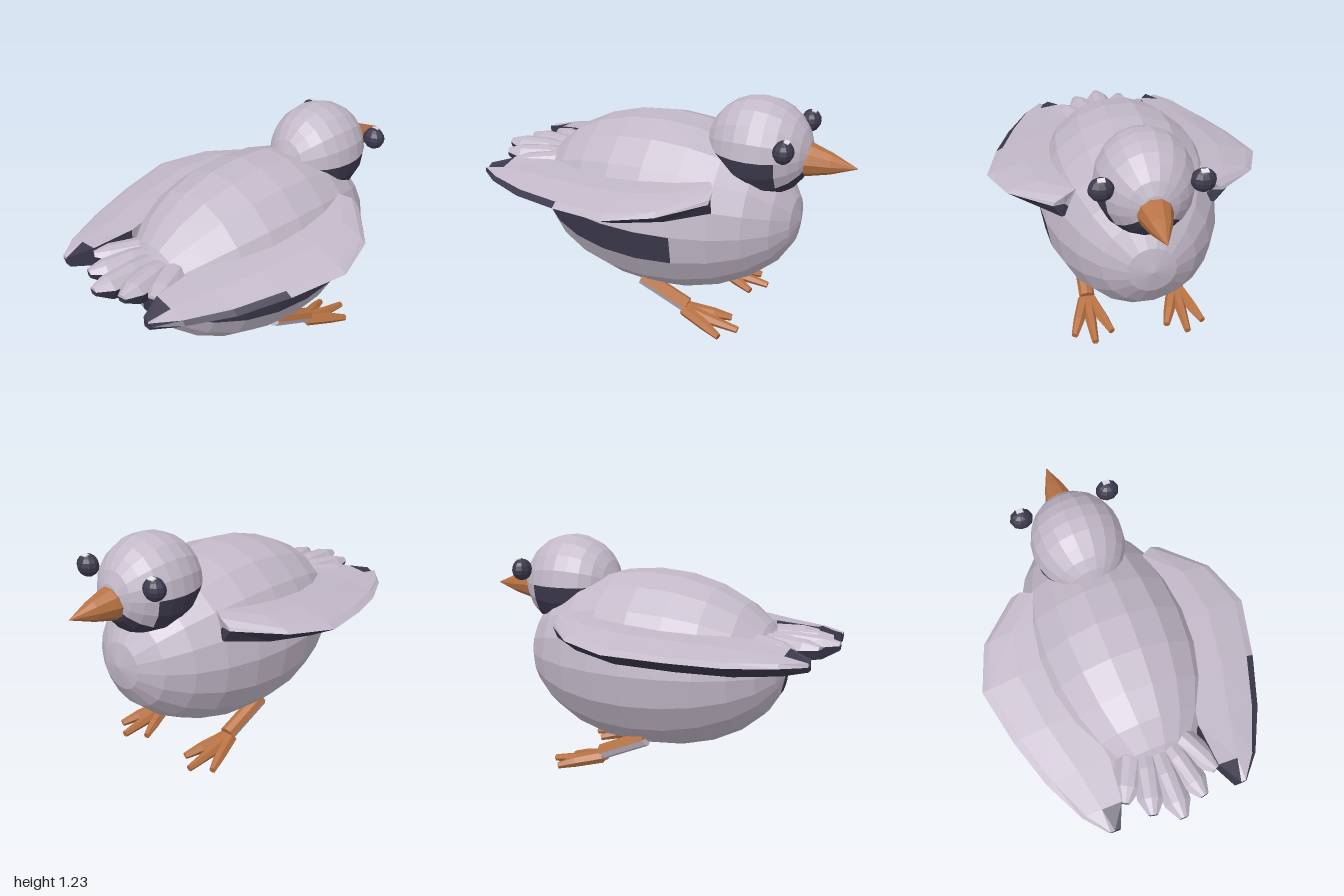
import * as THREE from 'three';

const mat = (name, color) => {
  const m = new THREE.MeshStandardMaterial({ color, flatShading: true });
  m.name = name;
  return m;
};
const V = (x, y, z) => new THREE.Vector3(x, y, z);

// Joins rings of points into a closed faceted solid; pick(i, j) gives the material index of a face
function loft(name, rings, mats, pick = () => 0) {
  const buckets = mats.map(() => []);
  const n = rings[0].length, last = rings.length - 1;
  let volume = 0;
  const tri = (m, a, b, c) => {
    const cross = b.clone().sub(a).cross(c.clone().sub(a));
    if (cross.length() < 1e-8) return;
    volume += a.clone().sub(rings[0][0]).dot(cross);
    buckets[m].push([a, b, c]);
  };
  for (let i = 0; i < last; i++) {
    for (let j = 0; j < n; j++) {
      const k = (j + 1) % n, m = pick(i, j);
      tri(m, rings[i][j], rings[i][k], rings[i + 1][k]);
      tri(m, rings[i][j], rings[i + 1][k], rings[i + 1][j]);
    }
  }
  // End caps
  for (const e of [0, last]) {
    const c = rings[e].reduce((s, p) => s.add(p), V(0, 0, 0)).divideScalar(n);
    for (let j = 0; j < n; j++) {
      const a = rings[e][j], b = rings[e][(j + 1) % n];
      const m = pick(Math.min(e, last - 1), j);
      if (e === 0) tri(m, c, b, a); else tri(m, c, a, b);
    }
  }
  const geo = new THREE.BufferGeometry(), points = [];
  buckets.forEach((list, m) => {
    geo.addGroup(points.length, list.length * 3, m);
    for (const [a, b, c] of list) points.push(a, ...(volume < 0 ? [c, b] : [b, c]));
  });
  geo.setFromPoints(points);
  geo.computeVertexNormals();
  const mesh = new THREE.Mesh(geo, mats);
  mesh.name = name;
  return mesh;
}

// Ellipsoid with its poles along z, 18 sides and 12 bands
function ellipsoid(name, c, r, mats, pick) {
  const rings = [];
  for (let i = 0; i <= 12; i++) {
    const t = (i * Math.PI) / 12, s = i % 12 ? Math.sin(t) : 0;
    rings.push(Array.from({ length: 18 }, (_, j) => {
      const a = (j * Math.PI) / 9;
      return V(c[0] + r[0] * s * Math.cos(a), c[1] + r[1] * s * Math.sin(a), c[2] - r[2] * Math.cos(t));
    }));
  }
  return loft(name, rings, mats, pick);
}

// Faceted limb through a list of [point, radius]
function limb(name, stops, sides, mats, pick) {
  const dir = stops[stops.length - 1][0].clone().sub(stops[0][0]).normalize();
  const u = V(0, 1, 0).cross(dir).normalize(), v = dir.clone().cross(u);
  const rings = stops.map(([p, r]) => Array.from({ length: sides }, (_, j) => {
    const a = (j * 2 * Math.PI) / sides;
    return p.clone().addScaledVector(u, r * Math.cos(a)).addScaledVector(v, r * Math.sin(a));
  }));
  return loft(name, rings, mats, pick);
}

export function createModel() {
  const plumage = mat('pale plumage', 0xc2b8c8);
  const dark = mat('dark plumage', 0x3c394d);
  const orange = mat('orange horn', 0xb87243);
  const white = mat('eye glint', 0xf0eef4);
  const feathers = [plumage, dark];
  const bird = new THREE.Group();
  bird.name = 'bird';

  // Body with a dark flank patch on one side
  bird.add(ellipsoid('body', [0, 0.603, 0], [0.47, 0.478, 0.735], feathers, (i, j) => {
    if (j === 17) return i >= 5 ? 1 : 0;
    if (j === 0) return i === 8 || i === 9 ? 1 : 0;
    if (i === 10) return j === 16 ? 1 : 0;
    return i === 11 && j >= 13 ? 1 : 0;
  }));

  // Head with a dark throat
  bird.add(ellipsoid('head', [0, 0.98, -0.5], [0.245, 0.262, 0.272], feathers, (i, j) => {
    if (i >= 4 && i <= 8) return j >= 9 ? 1 : 0;
    return i < 4 && j >= 11 && j <= 15 ? 1 : 0;
  }));

  // Beak
  bird.add(limb('beak', [
    [V(0, 0.952, -0.7), 0.094], [V(0, 0.95, -0.77), 0.083], [V(0, 0.945, -0.87), 0.054], [V(0, 0.94, -1), 0.002],
  ], 10, [orange]));

  for (const s of [1, -1]) {
    const side = s > 0 ? 'left' : 'right';

    // Eye and its glint
    const eye = new THREE.Mesh(new THREE.SphereGeometry(1, 10, 8), dark);
    eye.scale.set(0.062, 0.058, 0.052);
    eye.position.set(s * 0.238, 1.065, -0.69);
    eye.name = side + 'Eye';
    const glint = new THREE.Mesh(new THREE.BoxGeometry(0.036, 0.006, 0.026), white);
    glint.position.set(s * 0.238, 1.12, -0.705);
    glint.rotation.x = -0.25;
    glint.name = side + 'EyeGlint';
    bird.add(eye, glint);

    // Wing: z, inner x, outer x, top y, bottom y for each cross-section
    const wing = [
      [-0.39, 0.31, 0.43, 0.88, 0.75],
      [-0.2, 0.32, 0.64, 0.872, 0.73],
      [0.04, 0.32, 0.73, 0.855, 0.7],
      [0.34, 0.29, 0.665, 0.83, 0.68],
      [0.6, 0.24, 0.58, 0.805, 0.667],
      [0.82, 0.26, 0.47, 0.785, 0.68],
      [0.935, 0.31, 0.37, 0.755, 0.7],
    ].map(([z, a, b, t, u], i) => {
      const x = (f) => s * (a + (b - a) * f), mid = (t + u) / 2;
      const zIn = i === 0 ? 0.035 : 0;
      return [
        V(x(0), t, z + zIn), V(x(0.5), t - 0.015, z), V(x(0.9), mid + 0.02, z),
        V(x(1), mid, z), V(x(0.65), u, z), V(x(0), u, z + zIn),
      ];
    });
    bird.add(loft(side + 'Wing', wing, feathers, (i, j) => {
      if (j === 5) return i > 3 ? 1 : 0;
      if (j >= 3) return i === 3 && j === 4 ? 0 : 1;
      if (i === 5) return j === 0 || s > 0 ? (j === 1 ? 0 : 1) : 0;
      return s > 0 && j === 2 && i >= 3 ? 1 : 0;
    }));

    // Leg: orange in front, pale behind
    bird.add(limb(side + 'Leg', [
      [V(s * 0.25, 0.215, 0.05), 0.042], [V(s * 0.25, 0.1, -0.21), 0.042],
    ], 8, [orange, plumage], (i, j) => (j >= 4 ? 1 : 0)));

    // Foot with three toes
    const foot = new THREE.Group();
    foot.name = side + 'Foot';
    for (const [dx, z] of [[-0.1, -0.43], [0, -0.5], [0.1, -0.43]]) {
      foot.add(limb('toe', [
        [V(s * 0.25 + dx * 0.15, 0.078, -0.2), 0.034],
        [V(s * 0.25 + dx * 0.65, 0.045, -0.34), 0.03],
        [V(s * 0.25 + dx, 0.02, z), 0.018],
      ], 6, [orange]));
    }
    bird.add(foot);
  }

  // Tail: a fan of five feathers, pale above and dark below
  const tail = new THREE.Group();
  tail.name = 'tail';
  for (const [angle, length] of [[-0.47, 0.54], [-0.23, 0.6], [0, 0.65], [0.23, 0.6], [0.47, 0.54]]) {
    const c = Math.cos(angle), sn = Math.sin(angle);
    const rings = [
      [0.15, 0.06, 0.79, 0.66], [length - 0.23, 0.075, 0.81, 0.66],
      [length - 0.08, 0.068, 0.8, 0.69], [length, 0.025, 0.778, 0.735],
    ].map(([r, w, t, b]) => [[-1, 0.6], [-0.5, 0.93], [0, 1], [0.5, 0.93], [1, 0.6], [0.6, 0], [-0.6, 0]]
      .map(([f, h]) => V(r * sn + f * w * c, b + (t - b) * h, 0.35 + r * c - f * w * sn)));
    tail.add(loft('tailFeather', rings, feathers, (i, j) => (j >= 4 ? 1 : 0)));
  }
  bird.add(tail);
  return bird;
}
